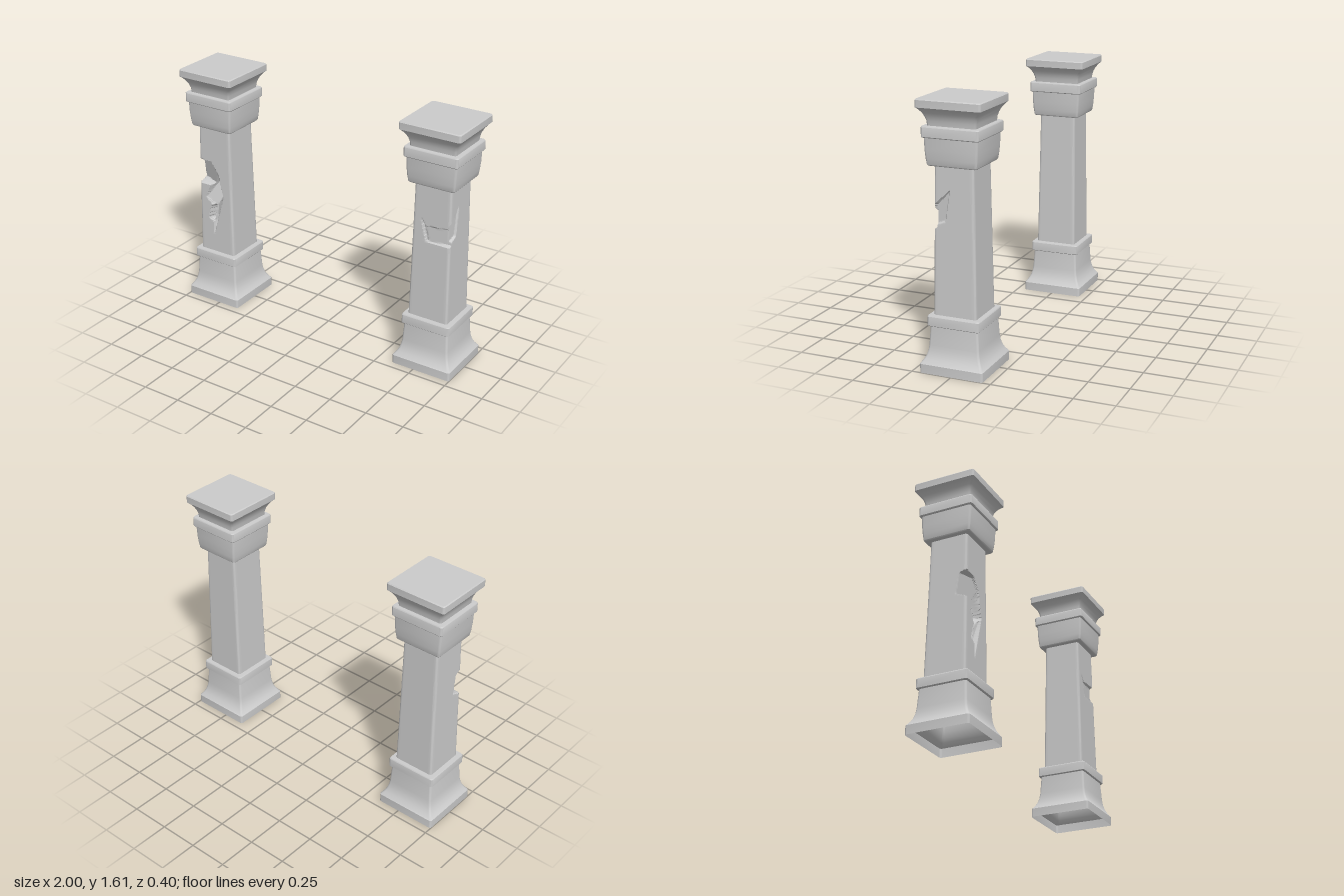
import * as THREE from 'three';
import { toCreasedNormals } from 'three/addons/utils/BufferGeometryUtils.js';

const material = new THREE.MeshStandardMaterial({ color: 0xcccccc, side: THREE.DoubleSide });

// Square outline with rounded corners; each side is split into `div` steps.
function squareRing(half, y, div) {
  const r = Math.min(0.014, half), k = half - r, pts = [], arc = 3;
  for (let c = 0; c < 4; c++) {
    const a0 = c * Math.PI / 2;
    const cx = k * (c === 0 || c === 3 ? 1 : -1), cz = k * (c < 2 ? 1 : -1);
    for (let i = 0; i <= arc; i++) {
      const a = a0 + i / arc * Math.PI / 2;
      pts.push(new THREE.Vector3(cx + r * Math.cos(a), y, cz + r * Math.sin(a)));
    }
    // straight side up to the next corner
    const from = pts[pts.length - 1], a1 = a0 + Math.PI / 2;
    const to = from.clone().add(new THREE.Vector3(-Math.sin(a1) * 2 * k, 0, Math.cos(a1) * 2 * k));
    for (let i = 1; i < div; i++) pts.push(from.clone().lerp(to, i / div));
  }
  return pts;
}

// Skin a stack of rings, bottom to top.
function loft(rings, crease) {
  const n = rings[0].length, index = [];
  for (let j = 0; j < rings.length - 1; j++) {
    for (let i = 0; i < n; i++) {
      const a = j * n + i, b = j * n + (i + 1) % n;
      index.push(a, a + n, b, b, a + n, b + n);
    }
  }
  const g = new THREE.BufferGeometry().setFromPoints(rings.flat());
  g.setIndex(index);
  return toCreasedNormals(g, crease);
}

// A chip is a convex outline on one face with sloping walls and a tilted floor.
// Returns its planes a*u + b*y + c*w + d >= 0 (u across the face, w out of it).
function makeChip({ side = false, outline, depth, tilt = 0, lean = 0, taper = 0.5 }) {
  const surface = 0.128, n = outline.length;
  const cu = outline.reduce((s, p) => s + p[0], 0) / n;
  const cy = outline.reduce((s, p) => s + p[1], 0) / n;
  const planes = outline.map(([u0, y0], i) => {
    const [u1, y1] = outline[(i + 1) % n], len = Math.hypot(u1 - u0, y1 - y0);
    let a = (y0 - y1) / len, b = (u1 - u0) / len;
    if (a * (cu - u0) + b * (cy - y0) < 0) { a = -a; b = -b; }
    return [a, b, taper, -a * u0 - b * y0 - taper * surface];
  });
  planes.push([tilt, lean, 1, depth - surface - tilt * cu - lean * cy]);
  return { side, planes };
}

// Pull a shaft point toward the axis to the inner wall of any chip it lies in.
function carve(p, chips) {
  let scale = 1;
  for (const { side, planes } of chips) {
    const u = side ? p.z : p.x, w = side ? p.x : p.z;
    let enter = 0, leave = Infinity;
    for (const [a, b, c, d] of planes) {
      const slope = a * u + c * w, base = b * p.y + d;
      if (Math.abs(slope) < 1e-9) { if (base < 0) leave = -1; continue; }
      const t = -base / slope;
      if (slope > 0) enter = Math.max(enter, t); else leave = Math.min(leave, t);
    }
    if (enter < 1 && leave >= 1 && enter > 0.2) scale = Math.min(scale, enter);
  }
  p.x *= scale;
  p.z *= scale;
}

// Profiles: [half width, height]
const baseProfile = [
  [0.2, 0], [0.2, 0.055], [0.196, 0.06], [0.182, 0.08], [0.17, 0.105], [0.162, 0.135], [0.158, 0.165],
  [0.151, 0.28], [0.16, 0.28], [0.164, 0.284], [0.164, 0.338], [0.16, 0.344], [0.134, 0.345],
];
const capitalProfile = [
  [0.121, 1.228], [0.149, 1.228], [0.154, 1.234], [0.159, 1.27], [0.163, 1.32], [0.165, 1.39],
  [0.173, 1.39], [0.177, 1.395], [0.177, 1.449], [0.173, 1.455], [0.15, 1.456],
  [0.153, 1.483], [0.16, 1.507], [0.171, 1.529], [0.185, 1.548], [0.195, 1.558],
  [0.2, 1.562], [0.2, 1.604], [0.195, 1.61], [0, 1.61],
];

// Broken area of the right column: big corner bite and ragged pieces below it
const rightChips = [
  { outline: [[-0.22, 1.0], [-0.03, 0.985], [0.03, 0.9], [0.04, 0.82], [-0.22, 0.82]], depth: 0.045, tilt: -0.35, lean: -0.15, taper: 0.35 },
  { outline: [[0.015, 0.92], [0.06, 0.75], [0.0, 0.66], [-0.08, 0.73], [-0.04, 0.82]], depth: 0.035, tilt: 0.3, lean: 0.2 },
  { outline: [[0.06, 0.75], [-0.02, 0.48], [-0.025, 0.57], [-0.01, 0.7]], depth: 0.025, tilt: -0.3 },
  { outline: [[0.0, 0.7], [-0.02, 0.56], [-0.06, 0.58], [-0.04, 0.67]], depth: 0.05, lean: 0.3, taper: 0.3 },
].map(makeChip);

// Broken corner of the left column: shallow on the front and outer faces
const leftChips = [
  { outline: [[-0.045, 0.965], [-0.02, 0.855], [0.22, 0.855], [0.22, 0.985], [0.07, 0.972]], depth: 0.02, tilt: 0.08 },
  { outline: [[-0.08, 1.025], [-0.035, 0.96], [-0.01, 0.86], [-0.035, 0.86]], depth: 0.015 },
  { side: true, outline: [[0.2, 0.925], [0.02, 1.1], [0.05, 0.905], [0.2, 0.845]], depth: 0.02, tilt: 0.08 },
].map(makeChip);

function makeColumn(name, x, chips) {
  const column = new THREE.Group();
  column.name = name;
  column.position.x = x;
  const add = (part, rings, crease = 0.6) => {
    const mesh = new THREE.Mesh(loft(rings, crease), material);
    mesh.name = part;
    column.add(mesh);
  };
  add('base', baseProfile.map(([h, y]) => squareRing(h, y, 1)));

  // tapered shaft on a fine grid, so that the chips can be carved out
  const rows = 140, shaft = [];
  for (let j = 0; j <= rows; j++) {
    const t = j / rows;
    const ring = squareRing(THREE.MathUtils.lerp(0.134, 0.121, t), THREE.MathUtils.lerp(0.345, 1.228, t), 36);
    ring.forEach(p => carve(p, chips));
    shaft.push(ring);
  }
  add('shaft', shaft);
  add('capital', capitalProfile.map(([h, y]) => squareRing(h, y, 1)));
  return column;
}

export function createModel() {
  const model = new THREE.Group();
  model.name = 'columnPair';
  model.add(makeColumn('rightColumn', -0.8, rightChips));
  model.add(makeColumn('leftColumn', 0.8, leftChips));
  return model;
}
